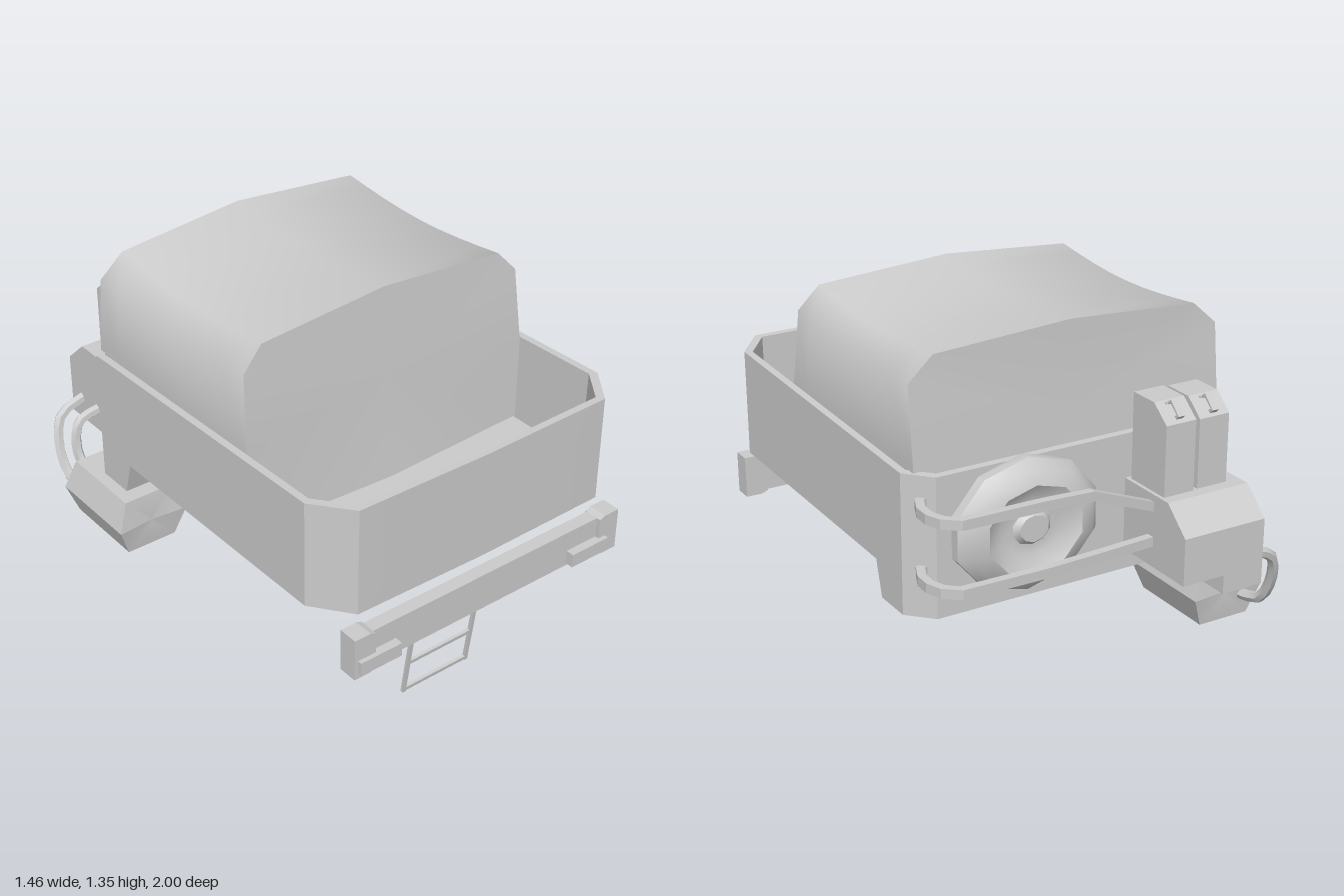
import * as THREE from 'three';
import { toCreasedNormals } from 'three/addons/utils/BufferGeometryUtils.js';

const CX = 0.023; // centre line of the tub
const mat = new THREE.MeshStandardMaterial({ color: 0xcccccc });
const thin = new THREE.MeshStandardMaterial({ color: 0xcccccc, side: THREE.DoubleSide });

// Skin a list of equal-length rings, with both ends closed by fans.
function loft(rings, crease = 0.3) {
  const pos = [];
  const tri = (...p) => p.forEach((v) => pos.push(...v));
  const n = rings[0].length;
  for (let i = 0; i < rings.length - 1; i++) {
    for (let j = 0; j < n; j++) {
      const k = (j + 1) % n, A = rings[i], B = rings[i + 1];
      tri(A[j], A[k], B[k]);
      tri(A[j], B[k], B[j]);
    }
  }
  const fan = (ring, flip) => {
    const c = [0, 1, 2].map((a) => ring.reduce((s, p) => s + p[a], 0) / n);
    ring.forEach((p, j) => {
      const q = ring[(j + 1) % n];
      flip ? tri(c, q, p) : tri(c, p, q);
    });
  };
  fan(rings[0], true);
  fan(rings[rings.length - 1], false);
  const g = new THREE.BufferGeometry();
  g.setAttribute('position', new THREE.Float32BufferAttribute(pos, 3));
  return toCreasedNormals(g, crease);
}

// Extrude a side outline, given as [-z, y] points, between two x values.
function sideExtrude(points, x0, x1) {
  const shape = new THREE.Shape(points.map((p) => new THREE.Vector2(...p)));
  return new THREE.ExtrudeGeometry(shape, { depth: x1 - x0, bevelEnabled: false })
    .rotateY(Math.PI / 2).translate(x0, 0, 0);
}

// Sweep an upright rectangular section along a path.
function sweepBar(points, w, h) {
  const v = points.map((p) => new THREE.Vector3(...p));
  const up = new THREE.Vector3(0, 1, 0);
  return loft(v.map((p, i) => {
    const t = v[Math.min(i + 1, v.length - 1)].clone().sub(v[Math.max(i - 1, 0)]);
    const s = up.clone().cross(t).normalize().multiplyScalar(w / 2);
    return [[-1, -1], [1, -1], [1, 1], [-1, 1]].map(([a, b]) =>
      [p.x + a * s.x, p.y + (b * h) / 2, p.z + a * s.z]);
  }));
}

// Box from min and max corners.
function box(x0, x1, y0, y1, z0, z1) {
  return new THREE.BoxGeometry(x1 - x0, y1 - y0, z1 - z0)
    .translate((x0 + x1) / 2, (y0 + y1) / 2, (z0 + z1) / 2);
}

export function createModel() {
  const model = new THREE.Group();
  const add = (name, geo, material = mat) => {
    const m = new THREE.Mesh(geo, material);
    m.name = name;
    model.add(m);
    return m;
  };

  // Open tub with cut corners and a sloping rim
  const rimY = (z) => 0.88 + (z + 0.62) * 0.034;
  const baseY = (z) => 0.475 + (z + 0.33) * 0.015;
  const plan = (d, y) => [
    [0.69 - d, 0.79 - d * 0.5], [0.69 - d, -0.53 + d * 0.5], [0.6 - d * 0.6, -0.622 + d],
    [-0.6 + d * 0.6, -0.622 + d], [-0.69 + d, -0.53 + d * 0.5], [-0.69 + d, 0.79 - d * 0.5],
    [-0.575 + d * 0.6, 0.943 - d], [0, 0.953 - d], [0.575 - d * 0.6, 0.943 - d],
  ].map(([x, z]) => [CX + x, y(z), z]);
  add('tub', loft([plan(0, baseY), plan(0, rimY), plan(0.03, rimY), plan(0.035, () => 0.55)]));

  // Deeper rear end of the tub
  const rearPlan = (y, zf) => [
    [0.69, zf], [0.69, -0.53], [0.6, -0.622], [-0.6, -0.622], [-0.69, -0.53], [-0.69, zf],
  ].map(([x, z]) => [CX + x, y, z]);
  add('rearTubDrop', loft([rearPlan(0.335, -0.37), rearPlan(0.48, -0.33)]));

  // Raised channel beneath the floor
  const channel = (w, front, yf, yr) => [
    [CX - 0.015 + w, yf, front], [CX - 0.015 + w, yr, -0.4],
    [CX - 0.015 - w, yr, -0.4], [CX - 0.015 - w, yf, front],
  ];
  add('floorChannel', loft([channel(0.225, 0.72, 0.385, 0.36), channel(0.268, 0.785, 0.492, 0.48)]));

  // Canvas cover: sagging roof, rounded shoulders, leaning ends
  const half = [[0.655, 0.56], [0.652, 0.91], [0.635, 1.21], [0.55, 1.3]];
  const profile = [[0, 0.56], ...half, [0, 1.34], ...half.map(([x, y]) => [-x, y]).reverse()];
  const cover = [];
  for (let i = 0; i <= 8; i++) {
    const t = i / 8;
    cover.push(profile.map(([x, y]) => {
      const lean = Math.min(1, (1.34 - y) / 0.43);
      const back = -0.545 - 0.045 * lean + 0.035 * (x / 0.65) ** 2;
      const front = 0.36 + 0.077 * lean - 0.03 * lean * Math.abs(x / 0.65);
      const sag = y > 1 ? 0.034 * Math.sin(Math.PI * t) + 0.01 * (1 - t) : 0;
      const widen = y > 1 && y < 1.25 ? 1 + 0.025 * (1 - t) : 1;
      return [CX + x * widen, y - sag, back + (front - back) * t];
    }));
  }
  add('canvasCover', loft(cover, 0.95));

  // Side panel on the left wall
  const panel = add('sidePanel', new THREE.PlaneGeometry(0.455, 0.122), thin);
  panel.rotation.set(0, Math.PI / 2, 0);
  panel.position.set(0.729, 0.637, 0.52);

  // Front bumper with end caps and lamps
  add('bumperBeam', box(-0.52, 0.61, 0.257, 0.41, 0.91, 0.965));
  for (const [a, b, inner] of [[-0.595, -0.525, -0.5], [0.62, 0.69, 0.595]]) {
    const s = Math.sign(inner);
    const ring = (z) => (s > 0
      ? [[b, 0.245], [b, 0.42], [a, 0.42], [inner, 0.41], [inner, 0.255], [a, 0.245]]
      : [[a, 0.42], [a, 0.245], [b, 0.245], [inner, 0.255], [inner, 0.41], [b, 0.42]])
      .map(([x, y]) => [x, y, z]);
    add('bumperEnd', loft([ring(0.902), ring(0.982)]));
  }
  for (const x of [-0.58, 0.443]) add('bumperLamp', box(x, x + 0.185, 0.268, 0.325, 0.96, 1.0));

  // Boarding step hanging below the bumper
  const step = new THREE.Group();
  step.name = 'boardingStep';
  const stepBars = [
    [-0.307, 0.125, 0.016, 0.26], [-0.006, 0.125, 0.016, 0.26],
    [-0.157, 0.008, 0.31, 0.016], [-0.157, 0.148, 0.31, 0.016],
  ];
  for (const [x, y, w, h] of stepBars) {
    const bar = new THREE.Mesh(new THREE.BoxGeometry(w, h, 0.012), mat);
    bar.name = w > h ? 'rung' : 'stepUpright';
    bar.position.set(x, y, 0);
    step.add(bar);
  }
  step.position.z = 0.913;
  step.rotation.x = 0.14;
  model.add(step);

  // Spare wheel lying against the rear wall
  const tyre = [[0, 0], [0.2, 0], [0.27, 0.025], [0.3, 0.06], [0.3, 0.1], [0.26, 0.14],
    [0.2, 0.16], [0.13, 0.125], [0.08, 0.125], [0.06, 0.145], [0, 0.145]]
    .map((p) => new THREE.Vector2(...p));
  const wheel = new THREE.LatheGeometry(tyre, 10).rotateX(-Math.PI / 2).scale(1, 0.85, 1);
  add('spareWheel', toCreasedNormals(wheel, 0.65)).position.set(0.31, 0.67, -0.62);

  // Two guard rails wrapping round the wheel
  for (const [y, drop] of [[0.78, 0.13], [0.52, 0]]) {
    add('guardRail', sweepBar([
      [0.63, y, -0.575], [0.672, y, -0.59], [0.698, y, -0.65], [0.7, y, -0.71], [0.68, y, -0.765],
      [0.63, y, -0.808], [0.3, y, -0.815], [0.1, y - drop * 0.1, -0.807], [-0.19, y - drop, -0.79],
    ], 0.033, 0.038));
  }

  // Rear equipment box with a lower pod on one side
  add('equipmentBox', sideExtrude(
    [[0.61, 0.42], [1, 0.42], [1, 0.605], [0.89, 0.705], [0.61, 0.705]], -0.525, -0.17));
  add('equipmentBoxPod', box(-0.525, -0.35, 0.345, 0.43, -1, -0.62));

  // Fuel cans with carrying handles
  for (const [x, top, back] of [[-0.4, 1.04, 0.84], [-0.25, 1.045, 0.845]]) {
    add('fuelCan', sideExtrude([[0.64, 0.69], [back, 0.69], [back, top - 0.065],
      [0.765, top], [0.64, top]], x - 0.065, x + 0.065));
    add('canHandle', sideExtrude([[0.755, top - 0.02], [0.795, top + 0.01], [0.845, top - 0.04],
      [0.825, top - 0.06], [0.82, top - 0.045], [0.832, top - 0.037], [0.795, top - 0.004],
      [0.77, top - 0.02]], x - 0.014, x + 0.014));
    add('handleFoot', box(x - 0.025, x + 0.025, top - 0.05, top - 0.005, -0.78, -0.76));
  }

  // Six-sided tank with shallow pointed end faces
  const tankRing = (z, s) => [[0.155, 0], [0.11, 0.12], [-0.11, 0.12], [-0.155, 0], [-0.11, -0.12],
    [0.11, -0.12]].map(([x, y]) => [-0.58 + x, 0.18 + y, y === 0 ? z + s * 0.025 : z]);
  add('tank', loft([tankRing(-0.72, -1), tankRing(-0.345, 1)]));

  // Hoses from the tank to the equipment box
  const hoses = [
    [[-0.655, 0.15, -0.72], [-0.67, 0.17, -0.82], [-0.67, 0.28, -0.885], [-0.63, 0.4, -0.92], [-0.5, 0.45, -0.925]],
    [[-0.61, 0.23, -0.72], [-0.635, 0.25, -0.765], [-0.64, 0.33, -0.795], [-0.61, 0.42, -0.805], [-0.5, 0.45, -0.805]],
  ];
  for (const h of hoses) {
    const curve = new THREE.CatmullRomCurve3(h.map((p) => new THREE.Vector3(...p)));
    add('hose', toCreasedNormals(new THREE.TubeGeometry(curve, 10, 0.022, 6), 0.6));
  }
  return model;
}
